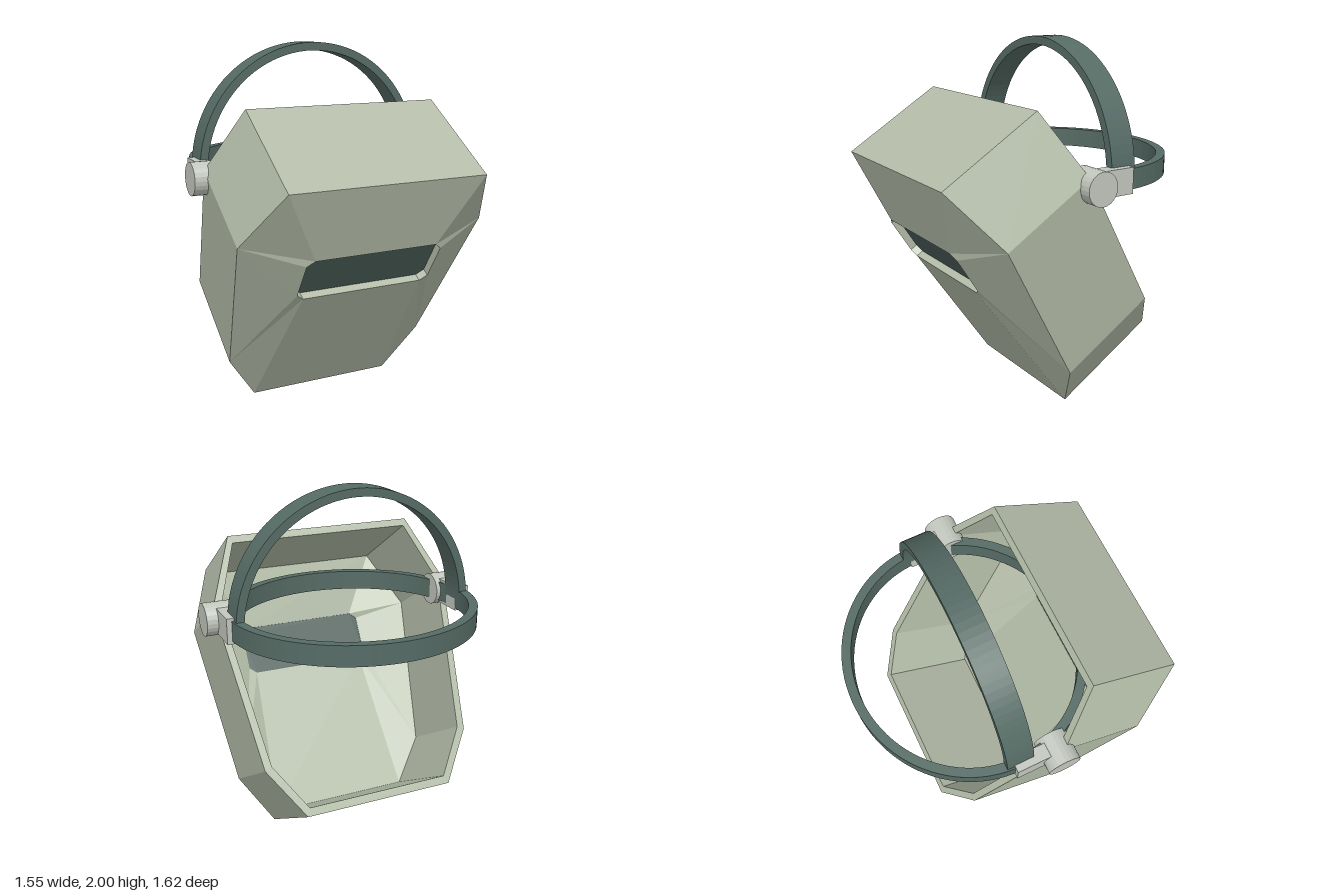
import * as THREE from 'three';

const paint = (color) => new THREE.MeshStandardMaterial({ color, flatShading: true });
const shellMat = paint(0xb3bca8);
const bandMat = paint(0x566b65);
const lensMat = paint(0x4a5d58);
lensMat.side = THREE.DoubleSide;
const knobMat = paint(0xc2c7be);

function add(parent, name, geometry, material, x = 0, y = 0, z = 0) {
  const mesh = new THREE.Mesh(geometry, material);
  mesh.name = name;
  mesh.position.set(x, y, z);
  parent.add(mesh);
  return mesh;
}

// Eight-cornered loop, counter-clockwise from the front, from its four left-hand corners
function loop(half, dz = 0, flatZ = null) {
  const point = ([x, y, z], s) => new THREE.Vector3(s * x, y, flatZ ?? z + dz);
  return [...half.map((p) => point(p, 1)), ...[...half].reverse().map((p) => point(p, -1))];
}

// Joins two loops with triangles, cutting each quad along its shorter diagonal
function strip(out, P, Q) {
  for (let i = 0; i < P.length; i++) {
    const j = (i + 1) % P.length;
    if (P[j].distanceTo(Q[i]) < P[i].distanceTo(Q[j])) out.push(P[i], P[j], Q[i], P[j], Q[j], Q[i]);
    else out.push(P[i], P[j], Q[j], P[i], Q[j], Q[i]);
  }
}

function shellGeometry(windowHalf) {
  const wall = 0.045, back = -0.66;
  const outer = [[0.43, 0, 0], [0.61, 0.282, -0.058], [0.71, 1.19, -0.094], [0.55, 1.582, -0.034]];
  const inner = [[0.41, 0.045, 0], [0.57, 0.3, -0.058], [0.67, 1.18, -0.094], [0.53, 1.54, -0.034]];
  const front = loop(outer), rim = loop(outer, 0, back);
  const innerFront = loop(inner, -wall), innerRim = loop(inner, 0, back);
  const hole = loop(windowHalf), innerHole = loop(windowHalf, -wall);
  const pts = [];
  strip(pts, front, hole); // face
  strip(pts, hole, innerHole); // window edge
  strip(pts, innerHole, innerFront); // inside of face
  strip(pts, innerFront, innerRim); // inside walls
  strip(pts, innerRim, rim); // back rim
  strip(pts, rim, front); // outside walls
  const g = new THREE.BufferGeometry().setFromPoints(pts);
  g.computeVertexNormals();
  return g;
}

export function createModel() {
  const model = new THREE.Group();
  model.name = 'faceShieldMask';

  // Tilted shell with its lens
  const mask = new THREE.Group();
  mask.name = 'mask';
  mask.rotation.x = THREE.MathUtils.degToRad(32);
  model.add(mask);
  const windowHalf = [[0.35, 0.9, 0.05], [0.39, 0.935, 0.05], [0.39, 1.152, 0.05], [0.35, 1.187, 0.05]];
  add(mask, 'shell', shellGeometry(windowHalf), shellMat);
  const lensShape = new THREE.Shape(loop(windowHalf).map((p) => new THREE.Vector2(p.x, p.y)));
  add(mask, 'lens', new THREE.ShapeGeometry(lensShape), lensMat, 0, 0, 0.007);

  // Horizontal head band
  const ring = new THREE.Shape().absellipse(0, 0, 0.69, 0.645, 0, Math.PI * 2);
  ring.holes.push(new THREE.Path().absellipse(0, 0, 0.64, 0.595, 0, Math.PI * 2));
  const ringGeo = new THREE.ExtrudeGeometry(ring, { depth: 0.11, bevelEnabled: false, curveSegments: 48 });
  ringGeo.rotateX(-Math.PI / 2);
  add(model, 'headBand', ringGeo, bandMat, 0, 1.26, -0.165);

  // Arch over the head
  const arch = new THREE.Shape();
  arch.absellipse(0, 0, 0.68, 0.685, 0, Math.PI, false);
  arch.absellipse(0, 0, 0.635, 0.64, Math.PI, 0, true);
  const archGeo = new THREE.ExtrudeGeometry(arch, { depth: 0.15, bevelEnabled: false, curveSegments: 24 });
  add(model, 'topBand', archGeo, bandMat, 0, 1.315, -0.24);

  // Hinge brackets and knobs
  for (const [side, s] of [['left', 1], ['right', -1]]) {
    add(model, side + 'Bracket', new THREE.BoxGeometry(0.08, 0.14, 0.23), knobMat, s * 0.676, 1.315, -0.085);
    const knob = new THREE.CylinderGeometry(0.09, 0.09, 0.175, 24).rotateZ(Math.PI / 2);
    add(model, side + 'Knob', knob, knobMat, s * 0.69, 1.313, 0.04);
  }
  return model;
}
